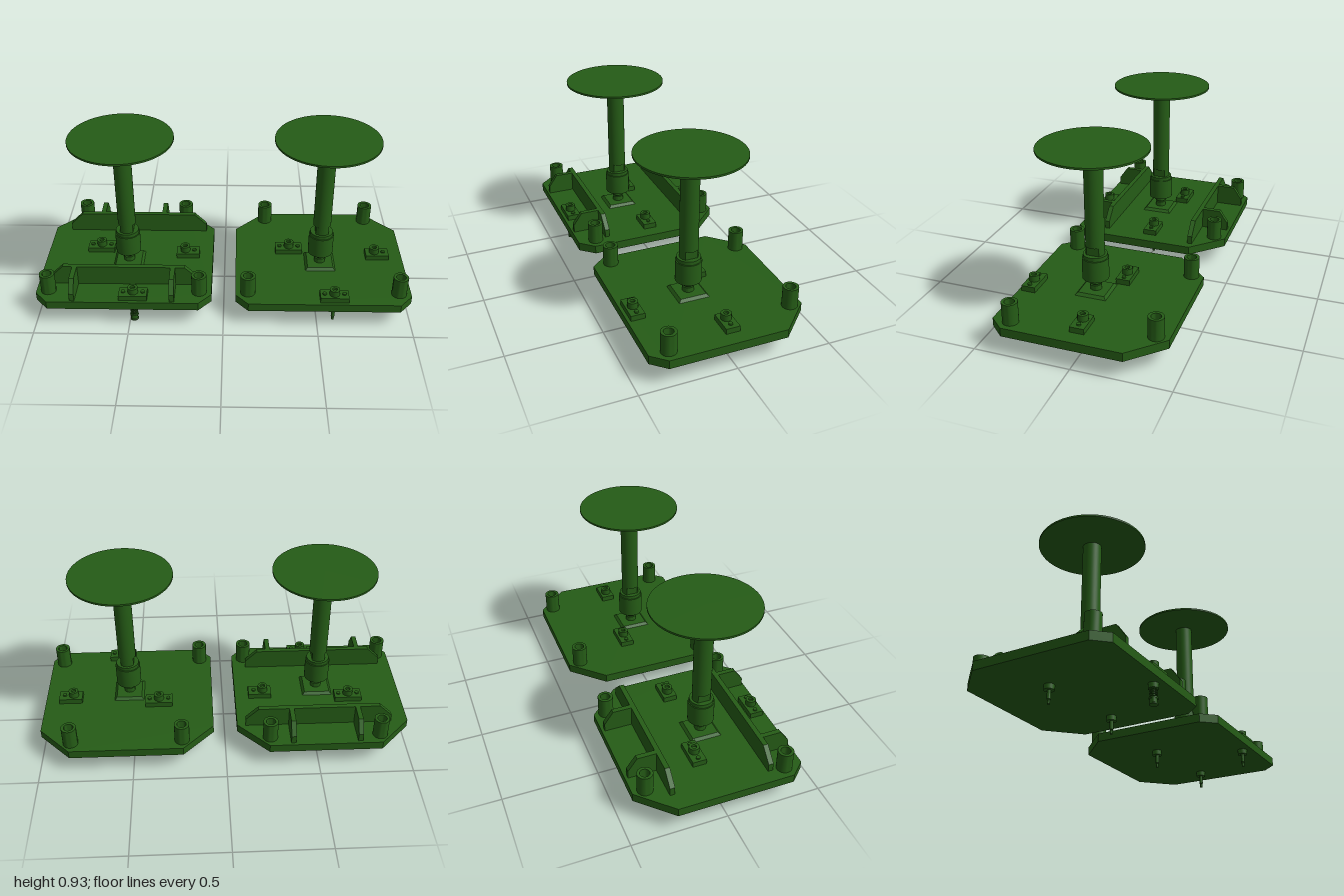
import * as THREE from 'three';
import { toCreasedNormals } from 'three/addons/utils/BufferGeometryUtils.js';

const material = new THREE.MeshStandardMaterial({ color: 0x255c16, side: THREE.DoubleSide });

function add(group, name, geometry, x = 0, y = 0, z = 0) {
  const mesh = new THREE.Mesh(geometry, material);
  mesh.name = name;
  mesh.position.set(x, y, z);
  group.add(mesh);
  return mesh;
}

// Turned part from [radius, height] pairs, with crisp edges
function turned(points, sides = 32) {
  const lathe = new THREE.LatheGeometry(points.map(([r, y]) => new THREE.Vector2(r, y)), sides);
  return toCreasedNormals(lathe, 0.6);
}

function extruded(points, depth) {
  const shape = new THREE.Shape(points.map(([x, y]) => new THREE.Vector2(x, y)));
  return new THREE.ExtrudeGeometry(shape, { depth, bevelEnabled: false });
}

// Contact block on top of the plate with its pin below
function addContact(group, x, z, blockOffset, sprung) {
  const contact = new THREE.Group();
  contact.name = 'contact';
  contact.position.set(x, 0, z);
  group.add(contact);
  add(contact, 'contactBlock', new THREE.BoxGeometry(blockOffset ? 0.128 : 0.15, 0.03, 0.074), blockOffset, 0.165, 0);
  add(contact, 'contactBoss', turned([[0, 0.18], [0.027, 0.18], [0.027, 0.213], [0.013, 0.213], [0.013, 0.2], [0, 0.2]], 16));
  const screws = blockOffset ? [0.05] : [-0.052, 0.052];
  for (const s of screws) {
    add(contact, 'blockScrew', new THREE.CylinderGeometry(0.011, 0.011, 0.008, 12), s, 0.184, 0);
  }
  add(contact, 'pinNut', new THREE.CylinderGeometry(0.026, 0.026, 0.027, 20), 0, 0.0925, 0);
  if (sprung) {
    add(contact, 'plunger', turned([[0, 0], [0.022, 0], [0.022, 0.006], [0.019, 0.008], [0.019, 0.028],
      [0.023, 0.028], [0.023, 0.035], [0.01, 0.035], [0.01, 0.08]], 20));
    const coil = [];
    for (let i = 0; i <= 48; i++) {
      const a = (i / 48) * Math.PI * 8;
      coil.push(new THREE.Vector3(0.017 * Math.cos(a), 0.035 + 0.045 * i / 48, 0.017 * Math.sin(a)));
    }
    add(contact, 'spring', new THREE.TubeGeometry(new THREE.CatmullRomCurve3(coil), 96, 0.003, 6));
  } else {
    add(contact, 'pin', turned([[0, 0.01], [0.007, 0.01], [0.008, 0.028], [0.006, 0.03], [0.01, 0.034], [0.01, 0.08]], 16));
  }
}

// Plate with posts, contacts and the central probe
function buildUnit(name, sprung) {
  const unit = new THREE.Group();
  unit.name = name;

  // Plate with large rear and small front corner cuts
  const plate = extruded([[-0.4, -0.425], [0.4, -0.425], [0.468, -0.35], [0.468, 0.262],
    [0.302, 0.43], [-0.302, 0.43], [-0.468, 0.262], [-0.468, -0.35]], 0.046);
  plate.rotateX(-Math.PI / 2);
  add(unit, 'plate', plate, 0, 0.105, 0);

  // Hollow corner posts
  const post = turned([[0, 0.16], [0.025, 0.16], [0.025, 0.263], [0.04, 0.263], [0.04, 0.15]]);
  for (const side of [-1, 1]) {
    add(unit, 'rearPost', post, side * 0.296, 0, -0.364);
    add(unit, 'frontPost', post, side * 0.402, 0, 0.327);
  }

  // Contacts
  addContact(unit, 0.311, -0.007, 0.016, false);
  addContact(unit, 0.054, 0.371, 0, sprung);
  addContact(unit, -0.168, -0.055, 0, false);

  // Probe: sloped foot, neck, collar, flatted section, stem and disc
  const probe = new THREE.Group();
  probe.name = 'probe';
  probe.position.z = 0.0525;
  unit.add(probe);
  const foot = new THREE.CylinderGeometry(0.07 * Math.SQRT2, 0.083 * Math.SQRT2, 0.015, 4, 1).toNonIndexed();
  foot.rotateY(Math.PI / 4);
  foot.computeVertexNormals();
  add(probe, 'foot', foot, 0, 0.158, 0);
  add(probe, 'collar', turned([[0.03, 0.16], [0.03, 0.192], [0.022, 0.192], [0.022, 0.202], [0.032, 0.202],
    [0.032, 0.23], [0.068, 0.23], [0.068, 0.345], [0.062, 0.345], [0.062, 0.365], [0, 0.365]], 40));
  const flat = [];
  const half = Math.asin(0.035 / 0.048);
  for (const base of [Math.PI / 2, 3 * Math.PI / 2]) {
    for (let i = -6; i <= 6; i++) {
      const a = base + half * i / 6;
      flat.push([0.048 * Math.cos(a), 0.048 * Math.sin(a)]);
    }
  }
  const flats = extruded(flat, 0.05);
  flats.rotateX(-Math.PI / 2);
  add(probe, 'stemFlats', flats, 0, 0.362, 0);
  add(probe, 'stem', new THREE.CylinderGeometry(0.048, 0.048, 0.512, 40), 0, 0.666, 0);
  add(probe, 'disc', new THREE.CylinderGeometry(0.274, 0.274, 0.01, 64), 0, 0.925, 0);
  return unit;
}

// Upright wall with chamfered ends and two bracing ribs facing outwards
function addWall(unit, name, x0, x1, z, out, ribs) {
  const wall = extruded([[x0, 0.15], [x1, 0.15], [x1, 0.195], [x1 - 0.068, 0.263],
    [x0 + 0.07, 0.263], [x0, 0.195]], 0.026);
  add(unit, name, wall, 0, 0, z - 0.013);
  // Rib profile runs outwards from the wall
  const profile = [[0, 0.15], [0.16, 0.15], [0.16, 0.195], [0.112, 0.263], [0, 0.263]];
  for (const x of ribs) {
    const rib = extruded(profile, 0.026);
    rib.translate(0, 0, -0.013);
    rib.rotateY(-out * Math.PI / 2);
    add(unit, name + 'Rib', rib, x, 0, z);
  }
}

export function createModel() {
  const model = new THREE.Group();
  model.name = 'probePlates';

  const plain = buildUnit('plainUnit', false);
  plain.position.x = 0.532;
  model.add(plain);

  const walled = buildUnit('walledUnit', true);
  walled.position.x = -0.532;
  addWall(walled, 'rearWall', -0.374, 0.422, -0.254, -1, [-0.183, 0.175]);
  addWall(walled, 'frontWall', -0.4, 0.392, 0.254, 1, [-0.266, 0.26]);
  model.add(walled);
  return model;
}
